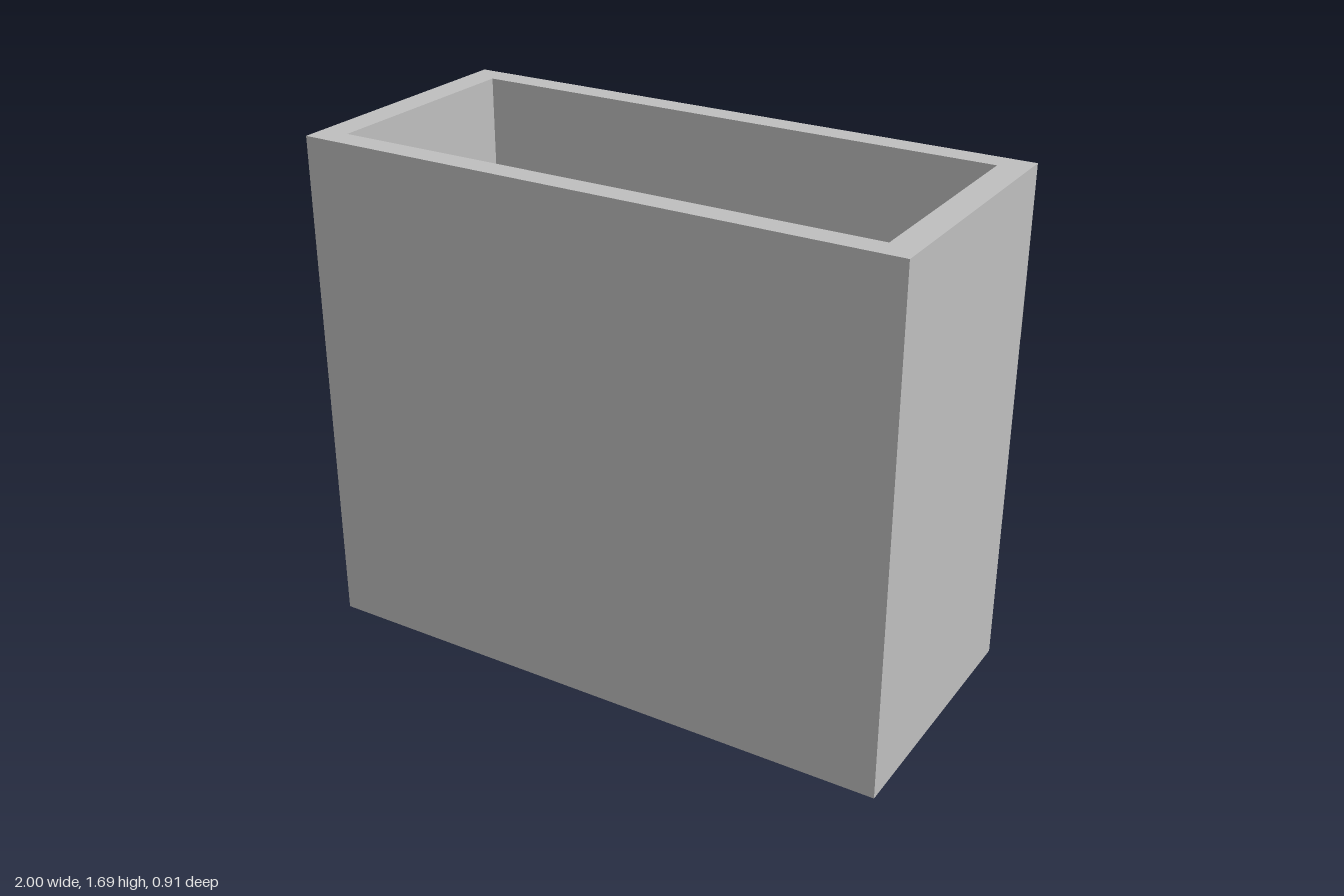
import * as THREE from 'three';

// Hollow double-walled planter: outer shell, inner sleeve, and a rim joining them
export function createModel() {
  const model = new THREE.Group();
  const grey = new THREE.MeshStandardMaterial({ color: 0xbfbfbf, side: THREE.DoubleSide });
  grey.name = 'plain grey';

  const X = 1, Z = 0.453, H = 1.69; // outer half width, half depth, height
  const IX = 0.906, IZ = 0.372;     // inner half width, half depth
  const BACK = 1.13;                // lower edge of the outer back panel

  // Flat panel from four corners, counter-clockwise seen from its outside
  function panel(name, a, b, c, d) {
    const g = new THREE.BufferGeometry();
    g.setAttribute('position', new THREE.Float32BufferAttribute([...a, ...b, ...c, ...d], 3));
    g.setIndex([0, 1, 2, 0, 2, 3]);
    g.computeVertexNormals();
    const mesh = new THREE.Mesh(g, grey);
    mesh.name = name;
    model.add(mesh);
  }

  // Outer shell, its lower back left open; side walls lean in a touch at the back foot
  panel('outerFront', [-X, 0, Z], [X, 0, Z], [X, H, Z], [-X, H, Z]);
  panel('outerBackUpper', [X, BACK, -Z], [-X, BACK, -Z], [-X, H, -Z], [X, H, -Z]);
  panel('outerLeft', [X, 0, Z], [X, 0, -Z + 0.007], [X, H, -Z], [X, H, Z]);
  panel('outerRight', [-X, 0, -Z + 0.003], [-X, 0, Z], [-X, H, Z], [-X, H, -Z]);

  // Inner sleeve, open at top and bottom, facing the cavity
  panel('innerFront', [IX, 0, IZ], [-IX, 0, IZ], [-IX, H, IZ], [IX, H, IZ]);
  panel('innerBack', [-IX, 0, -IZ], [IX, 0, -IZ], [IX, H, -IZ], [-IX, H, -IZ]);
  panel('innerLeft', [IX, 0, -IZ], [IX, 0, IZ], [IX, H, IZ], [IX, H, -IZ]);
  panel('innerRight', [-IX, 0, IZ], [-IX, 0, -IZ], [-IX, H, -IZ], [-IX, H, IZ]);

  // Top rim
  const rectangle = (path, x, z) =>
    path.moveTo(-x, -z).lineTo(x, -z).lineTo(x, z).lineTo(-x, z).closePath();
  const rimShape = rectangle(new THREE.Shape(), X, Z);
  rimShape.holes.push(rectangle(new THREE.Path(), IX, IZ));
  const rim = new THREE.Mesh(new THREE.ShapeGeometry(rimShape).rotateX(-Math.PI / 2), grey);
  rim.position.y = H;
  rim.name = 'rim';
  model.add(rim);

  return model;
}
